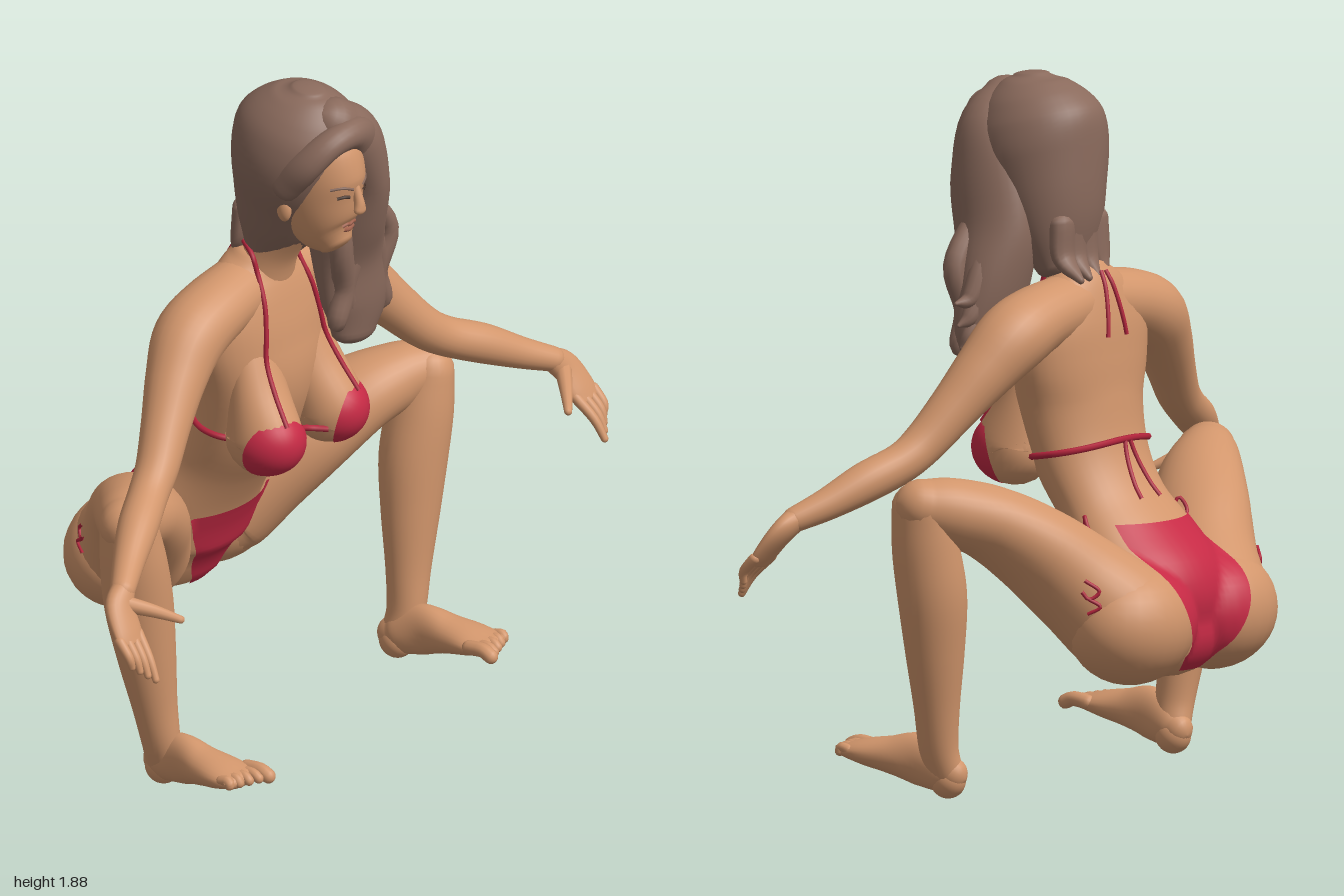
import * as THREE from 'three';

const paint = (name, color, side = THREE.FrontSide) => {
  const m = new THREE.MeshStandardMaterial({ color, side });
  m.name = name;
  return m;
};

export function createModel() {
  const root = new THREE.Group();
  root.name = 'crouchingFigure';
  const skin = paint('skin', 0xd2966c);
  const hair = paint('hair', 0x8a6a5c);
  const red = paint('red cloth', 0xc62a45, THREE.DoubleSide);
  const cord = paint('red cord', 0xb4243c);
  const lip = paint('lips', 0xa5644f);
  const dark = paint('eye dark', 0x4a352b);
  const V = (x, y, z) => new THREE.Vector3(x, y, z);

  const add = (name, geo, mat) => {
    const m = new THREE.Mesh(geo, mat);
    m.name = name;
    root.add(m);
    return m;
  };

  // Smooth loft through rings [x, y, z, halfWidthAlongRef, otherHalfWidth] with rounded ends
  function loft(name, rings, mat, { ref = V(1, 0, 0), s = 1, tips = [1, 1], seg = 24, per = 5 } = {}) {
    const path = new THREE.CatmullRomCurve3(rings.map(r => V(r[0] * s, r[1], r[2])), false, 'catmullrom', 0.5);
    const size = new THREE.CatmullRomCurve3(rings.map(r => V(r[3], r[4] ?? r[3], 0)), false, 'catmullrom', 0.5);
    const n = (rings.length - 1) * per, rows = [];
    const row = (t, k, sign, tip) => {
      const T = path.getTangent(t), r = size.getPoint(t);
      const shift = sign * Math.sin(k) * Math.min(r.x, r.y) * tip;
      rows.push({ c: path.getPoint(t).addScaledVector(T, shift), T, a: r.x * Math.cos(k), b: r.y * Math.cos(k) });
    };
    for (let k = 5; k > 0; k--) row(0, k * Math.PI / 10, -1, tips[0]);
    for (let i = 0; i <= n; i++) row(i / n, 0, 0, 0);
    for (let k = 1; k <= 5; k++) row(1, k * Math.PI / 10, 1, tips[1]);
    const pos = [], idx = [];
    rows.forEach(({ c, T, a, b }, i) => {
      const U = ref.clone().addScaledVector(T, -ref.dot(T)).normalize();
      const W = T.clone().cross(U);
      for (let j = 0; j < seg; j++) {
        const q = j / seg * Math.PI * 2;
        const p = c.clone().addScaledVector(U, a * Math.cos(q)).addScaledVector(W, b * Math.sin(q));
        pos.push(p.x, p.y, p.z);
        if (i === 0) continue;
        const k = (j + 1) % seg, lo = (i - 1) * seg, hi = i * seg;
        idx.push(lo + j, lo + k, hi + k, lo + j, hi + k, hi + j);
      }
    });
    const g = new THREE.BufferGeometry();
    g.setAttribute('position', new THREE.Float32BufferAttribute(pos, 3));
    g.setIndex(idx);
    g.computeVertexNormals();
    return add(name, g, mat);
  }

  const ball = (name, x, y, z, a, b, c, mat) =>
    add(name, new THREE.SphereGeometry(1, 28, 18).scale(a, b, c).translate(x, y, z), mat);

  // Finds the point just above the given meshes along a ray
  const caster = new THREE.Raycaster();
  function drape(from, dir, meshes, lift, fallback) {
    caster.set(from, dir.clone().normalize());
    const hit = caster.intersectObjects(meshes, false)[0];
    return hit ? hit.point.addScaledVector(dir.clone().normalize(), -lift) : fallback;
  }
  function string(name, points, r = 0.007, mat = cord) {
    const pts = points.filter(Boolean);
    if (pts.length < 2) return;
    add(name, new THREE.TubeGeometry(new THREE.CatmullRomCurve3(pts), pts.length * 4, r, 6), mat);
  }

  // Torso and neck
  const torso = loft('torso', [
    [0, .42, -.27, .18, .12], [0, .52, -.24, .22, .155], [0, .63, -.17, .21, .132], [0, .74, -.09, .182, .115],
    [0, .86, -.02, .188, .125], [0, 1.0, .02, .208, .137], [0, 1.12, .02, .238, .127],
    [0, 1.22, .015, .238, .113], [0, 1.3, .015, .175, .093], [0, 1.36, .025, .09, .07]], skin, { seg: 40, tips: [1, .4] });
  const neck = loft('neck', [[0, 1.26, .015, .1, .085], [0, 1.38, .06, .076, .072], [0, 1.5, .14, .068, .07]], skin);
  const body = [torso, neck];

  // Limbs and bust, mirrored
  for (const s of [1, -1]) {
    const side = s > 0 ? 'left' : 'right';
    body.push(loft(side + 'Thigh', [
      [.165, .455, -.28, .15], [.2, .485, -.255, .158, .156], [.27, .57, -.182, .145, .138], [.362, .668, -.1, .139, .117],
      [.462, .742, -.028, .119, .1], [.56, .779, .03, .093, .089], [.622, .795, .07, .074]],
      skin, { s, ref: V(0, 0, 1), seg: 32 }));
    body.push(ball(side + 'Buttock', s * .178, .46, -.285, .192, .16, .157, skin));
    loft(side + 'Shin', [
      [.62, .79, .075, .072, .082], [.6, .68, .075, .088, .09], [.575, .55, .072, .095, .09], [.553, .4, .08, .083, .076],
      [.532, .25, .09, .063, .06], [.515, .14, .097, .05, .054], [.495, .07, .09, .043, .05]], skin, { s, seg: 28 });
    loft(side + 'Foot', [
      [.49, .065, .07, .04, .045], [.495, .075, .1, .047, .06], [.505, .1, .17, .045, .07],
      [.515, .105, .25, .058, .051], [.52, .108, .32, .068, .037], [.52, .11, .375, .064, .022]], skin, { s });
    ball(side + 'Heel', s * .49, .05, .085, .045, .05, .05, skin);
    for (let k = 0; k < 5; k++) {
      const x = .466 + k * .027, r = k ? .014 : .02, end = .422 - k * .011;
      loft(side + 'Toe', [[x, .115, .35, r], [x, .12, (.35 + end) / 2 + .01, r], [x, .11, end, r]],
        skin, { s, seg: 10, per: 3 });
    }
    loft(side + 'Arm', [
      [.06, 1.27, .01, .09, .085], [.2, 1.245, .015, .098, .09], [.3, 1.205, .02, .098, .095], [.385, 1.13, .045, .082],
      [.47, 1.04, .08, .067], [.55, .955, .115, .058], [.62, .905, .14, .054], [.72, .86, .185, .054],
      [.82, .81, .235, .043], [.9, .775, .28, .034]], skin, { s, ref: V(0, 0, 1) });
    loft(side + 'Palm', [
      [.9, .775, .28, .034, .032], [.935, .74, .3, .047, .027], [.95, .69, .335, .05, .021],
      [.955, .66, .355, .046, .016]], skin, { s, tips: [1, .5] });
    for (let k = 0; k < 4; k++) {
      const x = .917 + k * .025, tip = .94 + k * .016;
      loft(side + 'Finger', [[x, .675, .345, .015], [(x + tip) / 2 + .004, .622 + k * .006, .395 - k * .006, .013],
        [tip, .57 + k * .014, .425 - k * .014, .01]], skin, { s, seg: 10, per: 4 });
    }
    loft(side + 'Thumb', [[.915, .745, .305, .023], [.865, .722, .355, .018], [.812, .692, .405, .011]], skin,
      { s, seg: 10, ref: V(0, 0, 1) });

    // Bust sloping from the upper chest, and its cup
    body.push(loft(side + 'Bust', [[.1, 1.12, .075, .075, .05], [.115, 1.01, .105, .086, .073],
      [.13, .905, .137, .094, .106], [.132, .88, .137, .092, .106]], skin, { s, seg: 28 }));
    add(side + 'Cup', new THREE.SphereGeometry(1, 28, 12, 0, Math.PI * 2, 0, 1.12).rotateX(Math.PI / 2 + .22)
      .rotateY(.38 * s).scale(.102, .1, .117).translate(s * .132, .888, .14), red);
  }

  // Head and face
  const head = loft('head', [
    [0, 1.45, .275, .042, .052], [0, 1.49, .245, .074, .098], [0, 1.55, .22, .096, .13], [0, 1.62, .2, .107, .155],
    [0, 1.7, .19, .107, .15], [0, 1.77, .18, .085, .12]], skin, { seg: 36, tips: [.4, .4] });
  loft('nose', [[0, 1.635, .341, .011], [0, 1.595, .353, .014], [0, 1.572, .356, .02, .014]], skin, { seg: 14 });
  const onFace = (x, y) => drape(V(x, y, 1), V(0, 0, -1), [head], .001, null);
  string('upperLip', [-.026, -.01, 0, .01, .026].map((x, i) => onFace(x, 1.518 + (i % 2) * .004)), .006, lip);
  string('lowerLip', [-.02, 0, .02].map((x, i) => onFace(x, 1.508 - (i % 2) * .004)), .007, lip);
  for (const s of [1, -1]) {
    string('eye', [.026, .041, .057].map((x, i) => onFace(s * x, 1.613 + (i % 2) * .003)), .005, dark);
    string('eyebrow', [.018, .045, .072].map((x, i) => onFace(s * x, 1.634 + [0, .01, .006][i])), .004, hair);
    ball('ear', s * .112, 1.565, .19, .016, .036, .022, skin);
  }

  // Hair: rounded cap, swept fringe, long side sweep and curls
  loft('hairCap', [
    [.03, 1.37, .045, .1, .065], [.03, 1.46, .072, .132, .115], [.025, 1.56, .1, .155, .15], [.015, 1.66, .13, .172, .178],
    [.012, 1.74, .15, .161, .184], [.012, 1.8, .163, .13, .148], [.012, 1.842, .17, .086, .1],
    [.012, 1.863, .172, .045, .052]], hair, { seg: 40, tips: [.5, .25] });
  loft('hairFringe', [[-.12, 1.64, .2, .045, .035], [-.107, 1.71, .26, .045, .036], [-.055, 1.765, .3, .042, .036],
    [.03, 1.77, .31, .04, .045], [.1, 1.71, .28, .045, .07]], hair, { ref: V(0, 0, 1), seg: 20 });
  loft('hairSweep', [
    [.02, 1.785, .25, .07, .07], [.09, 1.72, .25, .08, .09], [.138, 1.6, .215, .074, .12], [.155, 1.46, .18, .09, .12],
    [.18, 1.33, .17, .108, .09], [.19, 1.2, .185, .115, .065], [.18, 1.11, .19, .08, .045]], hair, { seg: 28, tips: [1, .9] });
  for (let i = 0; i < 6; i++) {
    const x = .1 + i * .032, bend = i % 2 ? .015 : -.015, low = 1.075 + Math.abs(i - 2.5) * .03;
    loft('curl', [[.1 + i * .018, 1.5, .225, .024, .03], [x + bend, 1.38, .225, .032, .032],
      [x - bend, 1.26, .21, .035, .032], [x + bend, 1.17, .21, .028, .026], [x - bend, low, .2, .012, .012]],
      hair, { seg: 12 });
  }
  for (let i = 0; i < 4; i++) {
    loft('outerCurl', [[.2, 1.46 - i * .06, .16 - i * .015, .03], [.25, 1.37 - i * .06, .16, .032],
      [.29, 1.3 - i * .05, .165, .024], [.335 - i * .012, 1.29 - i * .06, .175, .006]], hair, { seg: 12, ref: V(0, 0, 1) });
    loft('backTip', [[-.04 + i * .048, 1.49, .0, .042, .03], [-.04 + i * .05, 1.4, -.01, .04, .025],
      [-.04 + i * .055, 1.35, -.035 - i * .014, .01]], hair, { seg: 12 });
  }

  // Bikini bottom panels draped over the hips
  function panel(name, zSign, yTop, yLow, width) {
    const nu = 24, nv = 20, pos = [], idx = [];
    for (let j = 0; j <= nv; j++) for (let i = 0; i <= nu; i++) {
      const v = j / nv, x = (i / nu * 2 - 1) * width(v), y = yTop + (yLow - yTop) * v;
      const p = drape(V(x, y, zSign), V(0, 0, -zSign), body, .007, V(x, y, -.31));
      pos.push(p.x, p.y, p.z);
      if (!i || !j) continue;
      const b = j * (nu + 1) + i, a = b - 1, d = b - nu - 1, c = d - 1;
      idx.push(a, b, d, a, d, c);
    }
    const g = new THREE.BufferGeometry();
    g.setAttribute('position', new THREE.Float32BufferAttribute(pos, 3));
    g.setIndex(idx);
    g.computeVertexNormals();
    add(name, g, red);
  }
  panel('bikiniFront', 1, .59, .325, v => .13 * (1 - v) ** .9 + .035);
  panel('bikiniBack', -1, .715, .325, v => .155 + .1 * v - .21 * v ** 1.8);

  // Chest band, neck straps, ties and hip bows
  const band = [];
  for (let i = 0; i <= 40; i++) {
    const q = i / 40 * Math.PI * 2, d = V(Math.sin(q), 0, Math.cos(q));
    band.push(drape(V(0, .885 - .035 * Math.cos(q), 0).add(d), d.clone().negate(), [torso], .004, null));
  }
  string('chestBand', band, .009);
  string('cupLink', [[-.06, .86, .2], [-.03, .865, .17], [0, .872, .16], [.03, .865, .17], [.06, .86, .2]].map(p => V(...p)), .009);
  for (const s of [1, -1]) {
    const line = (a, b, z) => [0, .2, .4, .6, .8, 1].map(t =>
      drape(V(s * (a[0] + (b[0] - a[0]) * t), a[1] + (b[1] - a[1]) * t, z), V(0, 0, -z), body, .004, null));
    string('neckStrap', [...line([.15, .95], [.085, 1.33], 1),
      V(s * .085, 1.38, .06), V(s * .055, 1.4, .005), V(0, 1.39, -.02)]);
    string('neckTie', line([.01, 1.36], [.04, 1.19], -1), .006);
    string('backTie', line([.01, .92], [.04, .77], -1), .006);
    const bow = pts => string('hipBow', pts.map(([y, z]) => drape(V(s, y, z), V(-s, 0, 0), body, .004, null)), .005);
    bow([[.6, -.28], [.57, -.31], [.55, -.29], [.57, -.275]]);
    bow([[.55, -.29], [.53, -.315], [.51, -.285]]);
    // Loose loop of cord at the waist
    string('waistLoop', [[.185, .69, -.14], [.205, .74, -.15], [.215, .71, -.17], [.19, .68, -.18]]
      .map(([x, y, z]) => V(s * x, y, z)), .005);
  }
  return root;
}
